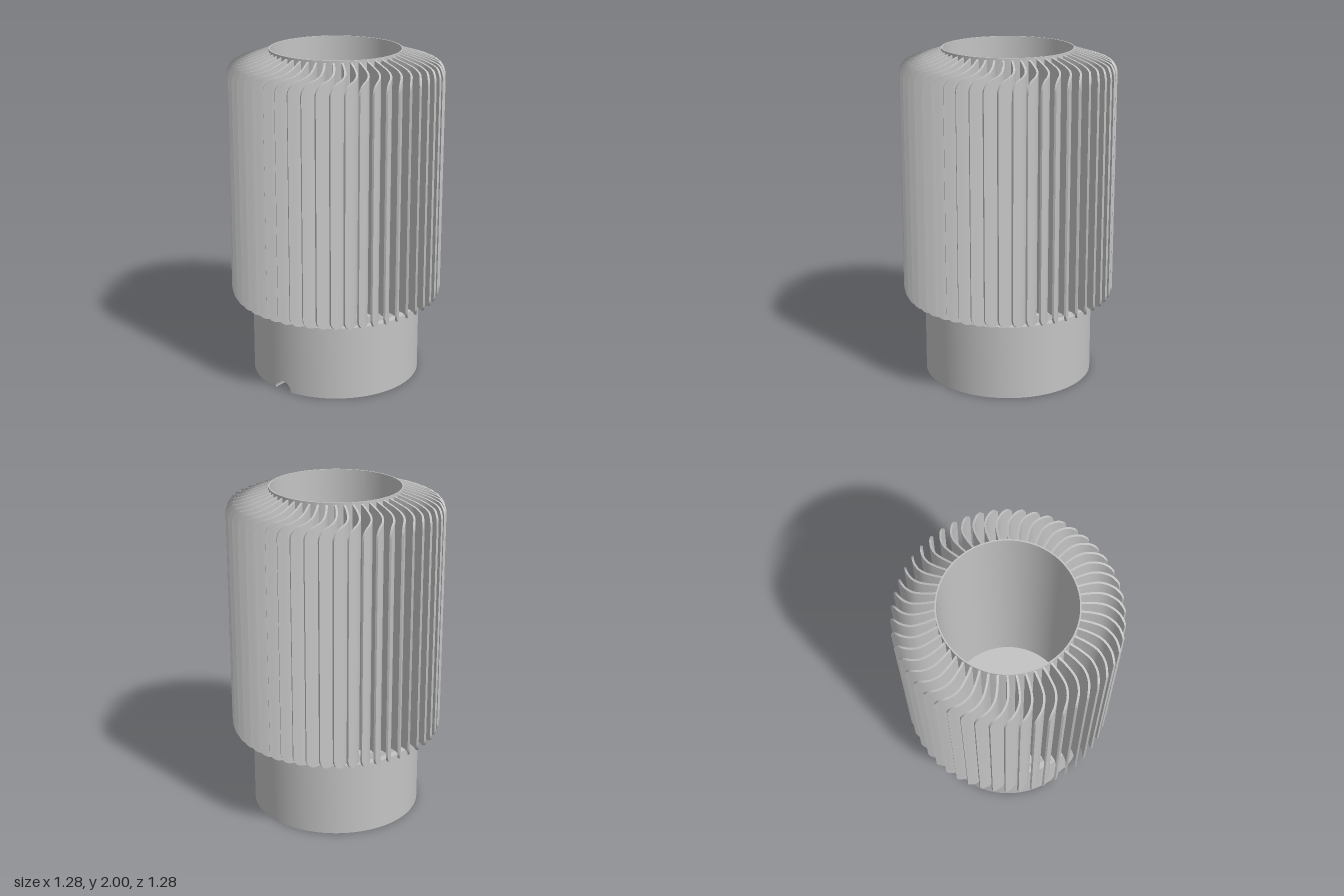
import * as THREE from 'three';
import { toCreasedNormals } from 'three/addons/utils/BufferGeometryUtils.js';

const FINS = 50;
const grey = new THREE.MeshStandardMaterial({ color: 0xc4c4c4 });
grey.name = 'light grey plastic';

const points = (list) => list.map(([r, y]) => new THREE.Vector2(r, y));

function addMesh(parent, name, geometry) {
  const mesh = new THREE.Mesh(geometry, grey);
  mesh.name = name;
  parent.add(mesh);
  return mesh;
}

// Foot: a thick ring, with a round cable channel cut through its underside at the front
function footGeometry() {
  const half = 12, segments = 140, channel = 0.06;
  const profile = points([[0.51, 0], [0.51, 0.45], [0.47, 0.45], [0.47, 0.36], [0.23, 0.36], [0.23, 0], [0.51, 0]]);
  const geometry = new THREE.LatheGeometry(profile, segments);
  const pos = geometry.attributes.position;
  for (let i = 0; i <= segments; i++) {
    // Signed column number, zero at the centre of the channel
    const fromFront = Math.min(i, segments - i);
    const side = i <= segments / 2 ? 1 : -1;
    profile.forEach(({ x: r, y }, j) => {
      const edge = Math.asin(channel / r);
      const t = Math.min(fromFront / half, 1) * Math.PI / 2;
      const angle = fromFront <= half
        ? Math.asin(channel * Math.sin(t) / r)
        : edge + (Math.PI - edge) * (fromFront - half) / (segments / 2 - half);
      const lift = y === 0 && fromFront < half ? channel * Math.cos(t) : 0;
      pos.setXYZ(i * profile.length + j, side * r * Math.sin(angle), y + lift, r * Math.cos(angle));
    });
  }
  return toCreasedNormals(geometry, 0.6);
}

// Fin: a thin plate bent along a swept path, with a sloping top and rounded outer corners
function finGeometry() {
  const path = new THREE.CatmullRomCurve3(
    // Radius and angle in degrees, measured back from the tip
    [[0.385, -8.2], [0.45, -9], [0.515, -8.6], [0.555, -7], [0.592, -4.4], [0.635, 0]].map(([r, deg]) => {
      const a = THREE.MathUtils.degToRad(deg);
      return new THREE.Vector3(r * Math.sin(a), 0, -r * Math.cos(a));
    }));
  const length = path.getLength(), corner = 0.06, thickness = 0.012;
  const geometry = new THREE.BoxGeometry(1, 1, thickness, 24, 1, 1);
  const pos = geometry.attributes.position;
  for (let i = 0; i < pos.count; i++) {
    const u = THREE.MathUtils.clamp(1 - (0.5 - pos.getX(i)) ** 1.7, 0, 1);
    const p = path.getPointAt(u), t = path.getTangentAt(u);
    const into = Math.max(0, corner - (1 - u) * length);
    const drop = corner - Math.sqrt(Math.max(0, corner * corner - into * into));
    const r = Math.hypot(p.x, p.z);
    const top = 1.99 - 0.07 * (r - 0.385) / 0.215 - drop;
    const bottom = 0.485 + drop;
    const z = pos.getZ(i);
    pos.setXYZ(i, p.x - t.z * z, pos.getY(i) > 0 ? top : bottom, p.z + t.x * z);
  }
  return toCreasedNormals(geometry, 0.6);
}

export function createModel() {
  const model = new THREE.Group();
  model.name = 'finned lamp';

  addMesh(model, 'foot', footGeometry());

  // Shade core: plug with a holed floor, collar and thin open tube
  const core = new THREE.LatheGeometry(points([
    [0.185, 0.37], [0.46, 0.37], [0.46, 0.488], [0.39, 0.488], [0.39, 2],
    [0.382, 2], [0.382, 0.4], [0.185, 0.4], [0.185, 0.37],
  ]), 96);
  addMesh(model, 'shadeTube', toCreasedNormals(core, 0.6));

  // Locking lugs on the collar
  for (const side of [-1, 1]) {
    const lug = addMesh(model, 'lockingLug', new THREE.BoxGeometry(0.14, 0.05, 0.04));
    lug.position.set(0, 0.429, side * 0.47);
  }

  // Ring of swept fins
  const fins = new THREE.Group();
  fins.name = 'fins';
  const fin = finGeometry();
  for (let i = 0; i < FINS; i++) {
    addMesh(fins, 'fin', fin).rotation.y = -(i / FINS) * Math.PI * 2 - 0.007;
  }
  model.add(fins);

  return model;
}
